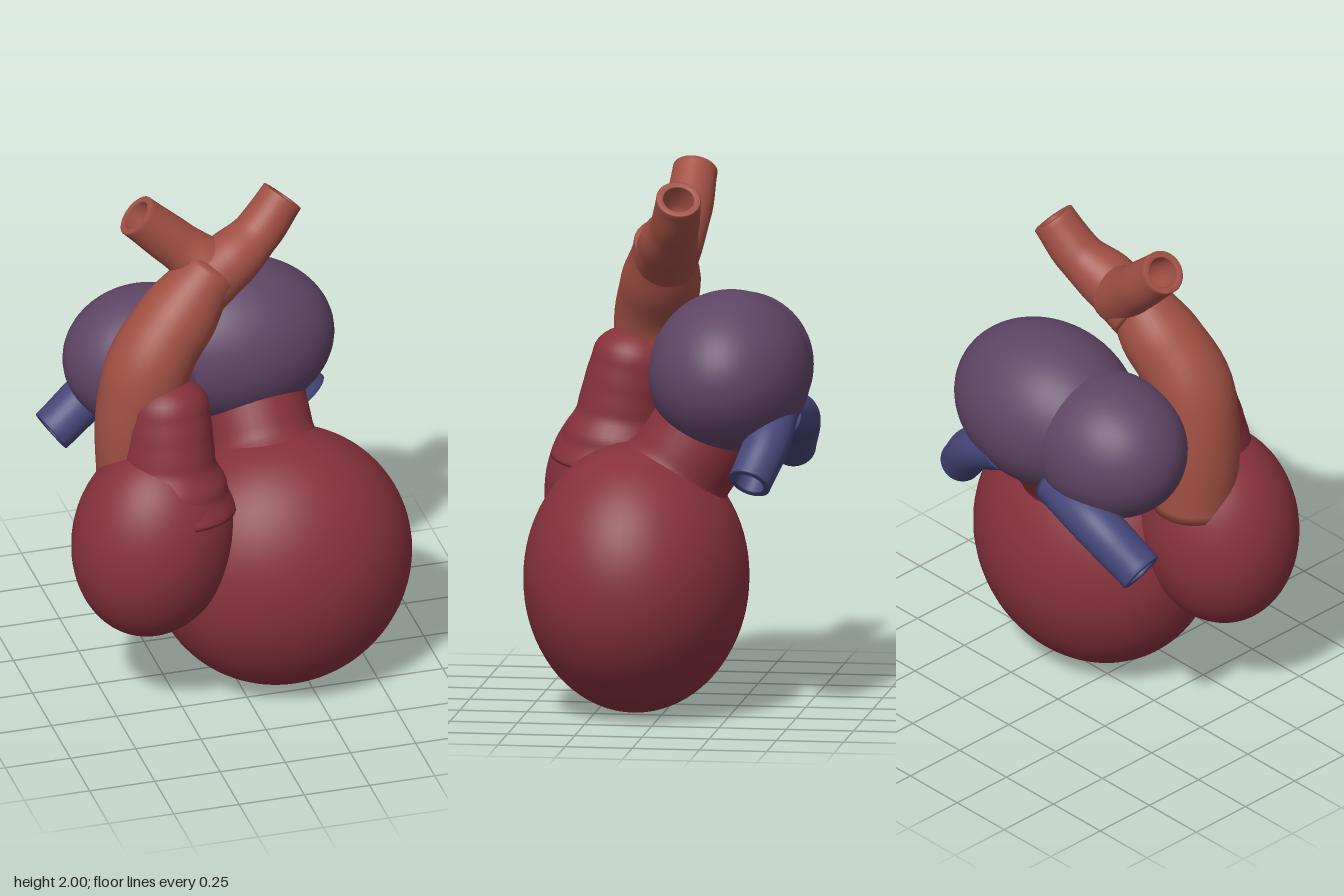
import * as THREE from 'three';

const mat = (name, color) => {
  const m = new THREE.MeshStandardMaterial({ color });
  m.name = name;
  return m;
};
const V = (p) => new THREE.Vector3(...p);

// Round sweep along a smooth path with changing radius.
// end: 'hollow' bores the far end, 'round' domes it, 'flat' leaves it softly capped.
function sweep(points, radii, end, sides = 36, steps = 28) {
  const curve = new THREE.CatmullRomCurve3(points.map(V));
  const frames = curve.computeFrenetFrames(steps, false);
  const rings = [];
  const radiusAt = (t) => {
    const f = t * (radii.length - 1), i = Math.min(Math.floor(f), radii.length - 2);
    const k = f - i;
    return THREE.MathUtils.lerp(radii[i], radii[i + 1], k * k * (3 - 2 * k));
  };
  const ring = (i, r, push = 0) => rings.push({ i, r, push });
  ring(0, 0.0001);
  for (let i = 0; i <= steps; i++) ring(i, radiusAt(i / steps));
  const last = radiusAt(1);
  if (end === 'hollow') {
    ring(steps, last - 0.004, 0.003);
    ring(steps, last * 0.72, 0.003);
    ring(steps, last * 0.68, -0.002);
    ring(steps, last * 0.64, -0.1);
    ring(steps, 0.0001, -0.1);
  } else {
    const depth = end === 'round' ? 0.75 : 0.3;
    for (let k = 1; k <= 8; k++) {
      const a = (k / 8) * Math.PI / 2;
      ring(steps, Math.max(last * Math.cos(a), 0.0001), last * depth * Math.sin(a));
    }
  }
  const pos = [], index = [];
  rings.forEach(({ i, r, push }, j) => {
    const c = curve.getPointAt(i / steps).addScaledVector(frames.tangents[i], push);
    for (let s = 0; s < sides; s++) {
      const a = (s / sides) * Math.PI * 2;
      const p = c.clone()
        .addScaledVector(frames.normals[i], Math.cos(a) * r)
        .addScaledVector(frames.binormals[i], Math.sin(a) * r);
      pos.push(p.x, p.y, p.z);
      if (j > 0) {
        const n = (s + 1) % sides, A = (j - 1) * sides, B = j * sides;
        index.push(A + s, A + n, B + n, A + s, B + n, B + s);
      }
    }
  });
  const g = new THREE.BufferGeometry();
  g.setAttribute('position', new THREE.Float32BufferAttribute(pos, 3));
  g.setIndex(index);
  g.computeVertexNormals();
  return g;
}

export function createModel() {
  const model = new THREE.Group();
  model.name = 'heart';
  const red = mat('muscleRed', 0x86313b);
  const purple = mat('atriumPurple', 0x5f4566);
  const blue = mat('veinBlue', 0x454678);
  const coral = mat('arteryCoral', 0xa04f43);

  const add = (name, geometry, material) => {
    const m = new THREE.Mesh(geometry, material);
    m.name = name;
    model.add(m);
    return m;
  };
  const ellipsoid = (name, center, radii, material, tilt = 0) => {
    const m = add(name, new THREE.SphereGeometry(1, 56, 40), material);
    m.position.set(...center);
    m.scale.set(...radii);
    m.rotation.z = tilt;
  };

  // Ventricles
  ellipsoid('leftVentricle', [0.17, 0.5, 0.105], [0.49, 0.5, 0.415], red);
  ellipsoid('rightVentricle', [-0.355, 0.725, 0.23], [0.3, 0.385, 0.29], red, -0.16);

  // Outflow bulb and valve neck, both flared at the base
  add('outflowBulb', sweep(
    [[-0.3, 0.85, 0.24], [-0.29, 1.05, 0.22], [-0.285, 1.24, 0.18]],
    [0.25, 0.215, 0.17, 0.163, 0.155], 'round'), red);
  add('valveNeck', sweep(
    [[0.15, 0.72, 0.06], [0.14, 0.93, -0.07], [0.12, 1.12, -0.2]],
    [0.3, 0.25, 0.2, 0.2, 0.2], 'flat'), red);

  // Atria
  ellipsoid('leftAtrium', [0.08, 1.255, -0.23], [0.385, 0.305, 0.297], purple);
  ellipsoid('rightAtrium', [-0.25, 1.23, -0.225], [0.31, 0.27, 0.265], purple);

  // Arterial trunk and its two open branches
  add('arteryTrunk', sweep(
    [[-0.37, 0.88, 0.09], [-0.37, 1.2, 0.1], [-0.325, 1.4, 0.1], [-0.18, 1.59, 0.06], [-0.08, 1.71, 0.04]],
    [0.155, 0.16, 0.16, 0.148, 0.11], 'flat'), coral);
  add('rightArteryBranch', sweep(
    [[-0.05, 1.68, 0.01], [-0.19, 1.8, -0.03], [-0.34, 1.94, -0.04]],
    [0.11, 0.09, 0.083], 'hollow'), coral);
  add('leftArteryBranch', sweep(
    [[-0.13, 1.64, 0.04], [0.0, 1.72, 0.01], [0.12, 1.8, -0.03], [0.225, 1.92, -0.06]],
    [0.12, 0.11, 0.09, 0.083], 'hollow'), coral);

  // Open veins below the atria
  add('leftVein', sweep(
    [[0.13, 1.12, -0.4], [0.28, 1.04, -0.4], [0.41, 0.9, -0.35]],
    [0.09, 0.085, 0.08], 'hollow'), blue);
  add('rightVein', sweep(
    [[-0.12, 1.07, -0.38], [-0.36, 1.02, -0.41], [-0.57, 0.88, -0.37]],
    [0.085, 0.09, 0.085], 'hollow'), blue);

  return model;
}
